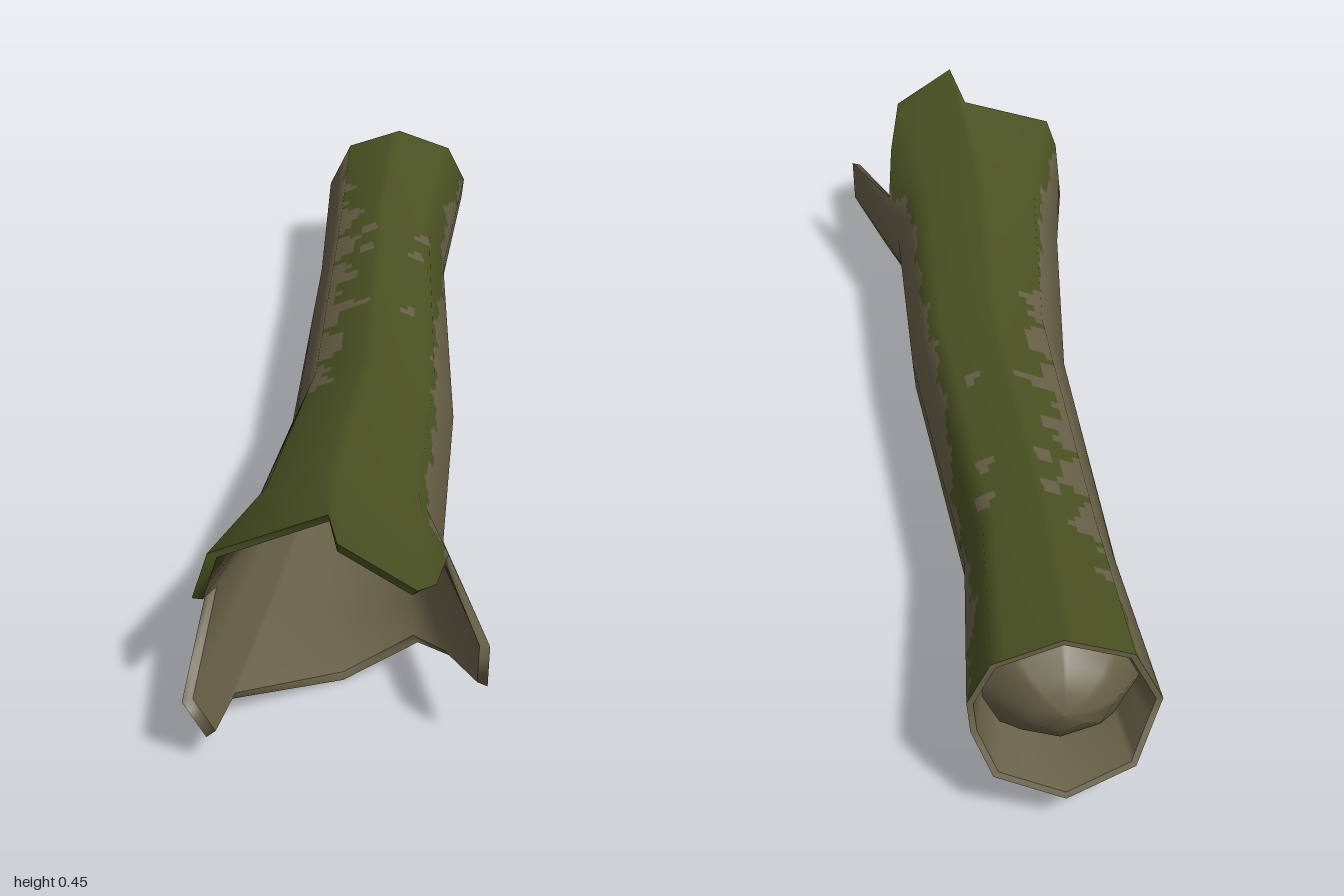
import * as THREE from 'three';

const bark = new THREE.MeshStandardMaterial({ color: 0x686047 });
const moss = new THREE.MeshStandardMaterial({ color: 0x4a5122 });
bark.name = 'bark';
moss.name = 'moss';

// Broken front edge, counterclockwise from the bottom: octagon position, x, y, z
const RIM = [
  [0, -0.01, 0.004, 0.73], [1, 0.118, 0.055, 0.68], [1.4, 0.18, 0.105, 0.78],
  [1.7, 0.243, 0.155, 0.92], [2.2, 0.245, 0.243, 0.93], [2.7, 0.17, 0.265, 0.71],
  [3, 0.155, 0.31, 0.86], [3.2, 0.13, 0.375, 0.97], [4, 0.005, 0.458, 0.97],
  [4.2, -0.02, 0.43, 0.85], [5, -0.215, 0.36, 0.87], [5.5, -0.24, 0.285, 0.89],
  [6, -0.236, 0.22, 0.77], [6.3, -0.245, 0.16, 1.0], [6.85, -0.212, 0.073, 0.98],
  [7, -0.195, 0.055, 0.86],
];
const N = RIM.length;
const v3 = (x, y, z) => new THREE.Vector3(x, y, z);

// Octagonal cross-section fitted to a box, with the same columns as the rim
function ring(z, x0, x1, y0, y1, scale = 1) {
  const corner = (k) => {
    const a = (k / 4 - 0.5) * Math.PI;
    return v3((x0 + x1) / 2 + Math.cos(a) * scale * (x1 - x0) / 2,
      (y0 + y1) / 2 + Math.sin(a) * scale * (y1 - y0) / 2, z);
  };
  return RIM.map(([u]) => corner(Math.floor(u)).lerp(corner(Math.floor(u) + 1), u % 1));
}

// The sawn back end leans outwards at the bottom
const slant = (pts) => pts.map((p) => v3(p.x, p.y, p.z - 0.07 * Math.max(0, (0.21 - p.y) / 0.14)));

const BODY = [
  [-0.53, -0.165, 0.12, 0.025, 0.325],
  [0.13, -0.16, 0.168, 0.005, 0.33],
  [0.6, -0.207, 0.168, 0.016, 0.367],
];
const BACK = [-0.18, 0.155, 0.07, 0.355];

// Skin through rings: coarse smooth normals, finely subdivided so moss can be assigned per cell
function skin(name, rings, isMoss, step = 0.025, across = 5) {
  const coarse = new THREE.BufferGeometry().setFromPoints(rings.flat());
  const idx = [];
  for (let r = 0; r < rings.length - 1; r++) {
    for (let c = 0; c < N; c++) {
      const a = r * N + c, b = r * N + (c + 1) % N;
      idx.push(a, b, a + N, b, b + N, a + N);
    }
  }
  coarse.setIndex(idx);
  coarse.computeVertexNormals();
  const cn = coarse.attributes.normal;
  const normals = rings.map((pts, r) => pts.map((_, c) => new THREE.Vector3().fromBufferAttribute(cn, r * N + c)));

  const pos = [], nor = [], groups = [[], []];
  const mix = (grid, r, c, s, t) => {
    const d = (c + 1) % N;
    return grid[r][c].clone().lerp(grid[r][d], s).lerp(grid[r + 1][c].clone().lerp(grid[r + 1][d], s), t);
  };
  for (let r = 0; r < rings.length - 1; r++) {
    const span = Math.max(...rings[r].map((p, c) => p.distanceTo(rings[r + 1][c])));
    const rows = Math.max(1, Math.ceil(span / step));
    for (let c = 0; c < N; c++) {
      const base = pos.length / 3;
      for (let i = 0; i <= rows; i++) {
        for (let j = 0; j <= across; j++) {
          pos.push(...mix(rings, r, c, j / across, i / rows).toArray());
          nor.push(...mix(normals, r, c, j / across, i / rows).normalize().toArray());
        }
      }
      for (let i = 0; i < rows; i++) {
        for (let j = 0; j < across; j++) {
          const mid = mix(rings, r, c, (j + 0.5) / across, (i + 0.5) / rows);
          const a = base + i * (across + 1) + j, e = a + across + 1;
          groups[isMoss && isMoss(mid) ? 1 : 0].push(a, a + 1, e, a + 1, e + 1, e);
        }
      }
    }
  }
  const geo = new THREE.BufferGeometry();
  geo.setAttribute('position', new THREE.Float32BufferAttribute(pos, 3));
  geo.setAttribute('normal', new THREE.Float32BufferAttribute(nor, 3));
  geo.setIndex([...groups[0], ...groups[1]]);
  geo.addGroup(0, groups[0].length, 0);
  geo.addGroup(groups[0].length, groups[1].length, 1);
  const mesh = new THREE.Mesh(geo, [bark, moss]);
  mesh.name = name;
  return mesh;
}

// Lower edge of the moss on the left flank: z, y
const EDGE = [[-1, 0.23], [-0.9, 0.23], [-0.7, 0.25], [-0.6, 0.22], [-0.45, 0.2], [-0.3, 0.225],
  [-0.15, 0.26], [0.1, 0.28], [0.3, 0.27], [0.55, 0.29], [0.75, 0.27], [1, 0.28]];
const FLECKS = [[-0.05, -0.37], [0.06, -0.37], [-0.05, -0.47], [0.07, -0.47], [-0.04, -0.11], [0.06, -0.1]];

function mossOnBark({ x, y, z }) {
  const ragged = 0.009 * Math.sin(z * 41) + 0.006 * Math.sin(z * 97 + 1);
  // Patch low on the left flank
  if (x > 0 && y < 0.15) return z > 0.09 && z < 0.32 && y > 0.05 && y < 0.115 - Math.abs(z - 0.22) * 0.3 + ragged;
  if (y > 0.25 && FLECKS.some(([fx, fz]) => Math.hypot(x - fx, z - fz) < 0.017)) return false;
  if (x < 0) return y > (z > 0.3 ? 0.285 : 0.295) + ragged;
  const k = Math.max(1, EDGE.findIndex(([ez]) => ez >= z));
  const [z0, y0] = EDGE[k - 1], [z1, y1] = EDGE[k];
  return y > y0 + (y1 - y0) * (z - z0) / (z1 - z0) + ragged;
}

export function createModel() {
  const log = new THREE.Group();
  log.name = 'hollowLog';

  const shrinkRim = (s, dz) => RIM.map(([, x, y, z]) => v3(x * s, 0.21 + (y - 0.21) * s, z + dz));
  const rimOuter = shrinkRim(1, 0), rimInner = shrinkRim(0.93, -0.005);
  const backOuter = slant(ring(-0.93, ...BACK)), backInner = slant(ring(-0.93, ...BACK, 0.93));

  // Outer bark with moss along the top
  log.add(skin('outerBark', [backOuter, ...BODY.map((b) => ring(...b)), rimOuter], mossOnBark, 0.02, 6));

  // Splintered lip around the front opening
  log.add(skin('brokenRim', [rimOuter, rimInner], (p) => p.y > 0.285, 0.01, 4));

  // Hollow inside, closing to a bowl deep in the log
  const hollow = [...BODY].reverse().map((b) => ring(...b, 0.9));
  const deep = [[-0.72, 0.78], [-0.8, 0.45], [-0.83, 0.001]].map(([z, s]) => ring(z, -0.165, 0.13, 0.04, 0.33, s));
  log.add(skin('hollowInside', [rimInner, ...hollow, ...deep],
    (p) => p.y > 0.32 && p.z > 0.82, 0.03, 2));

  // Back end: thin lip, recess wall and rounded plug
  log.add(skin('backLip', [backInner, backOuter], null, 0.05, 1));
  log.add(skin('backRecess', [ring(-0.87, ...BACK, 0.82), backInner], null, 0.05, 2));
  const plug = [[-0.955, 0.001], [-0.945, 0.3], [-0.92, 0.56], [-0.87, 0.82]];
  log.add(skin('backPlug', plug.map(([z, s]) => ring(z, ...BACK, s)), null, 0.05, 2));

  return log;
}
